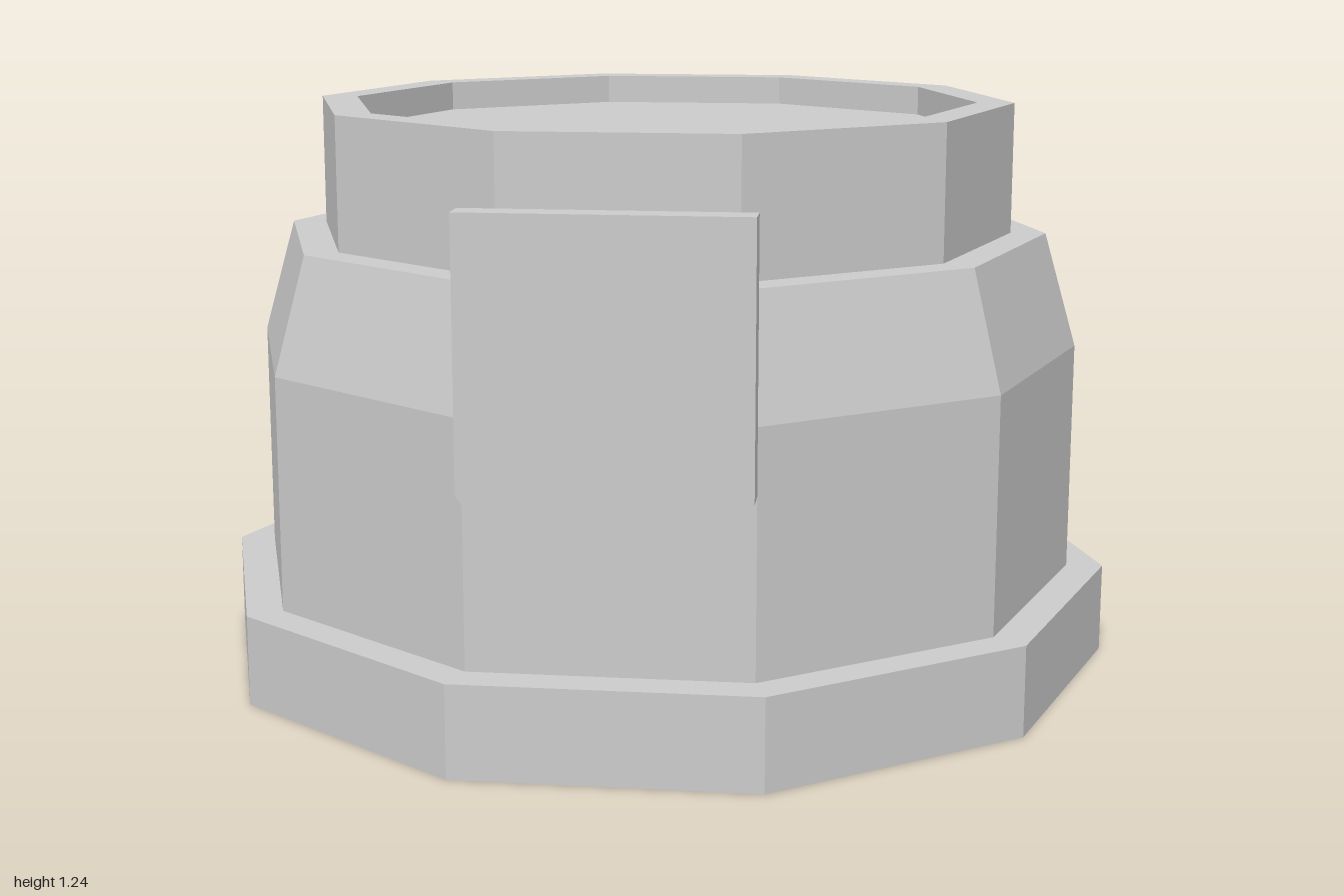
import * as THREE from 'three';

const SIDES = 10;
const STEP = (Math.PI * 2) / SIDES;
const material = new THREE.MeshStandardMaterial({
  color: 0xcccccc, flatShading: true, side: THREE.DoubleSide,
});

function add(parent, name, geometry, z = 0) {
  const mesh = new THREE.Mesh(geometry, material);
  mesh.name = name;
  mesh.position.z = z;
  parent.add(mesh);
}

// Ten-sided shell from a [radius, y] profile; a flat side faces the front.
// skipFront leaves that front side open.
function shell(profile, skipFront = false) {
  const points = profile.map(([r, y]) => new THREE.Vector2(r, y));
  const count = skipFront ? SIDES - 1 : SIDES;
  return new THREE.LatheGeometry(points, count, STEP / 2, STEP * count);
}

const flat = (points) =>
  new THREE.ShapeGeometry(new THREE.Shape(points.map(([x, y]) => new THREE.Vector2(x, y))));

// Walls between z0 and z1 along a closed outline
function walls(outline, z0, z1) {
  const positions = [];
  outline.forEach(([ax, ay], i) => {
    const [bx, by] = outline[(i + 1) % outline.length];
    positions.push(ax, ay, z0, bx, by, z0, bx, by, z1, ax, ay, z0, bx, by, z1, ax, ay, z1);
  });
  const geometry = new THREE.BufferGeometry();
  geometry.setAttribute('position', new THREE.Float32BufferAttribute(positions, 3));
  geometry.computeVertexNormals();
  return geometry;
}

export function createModel() {
  const model = new THREE.Group();
  model.name = 'decagonalHousing';

  const baseTop = 0.195, bodyTop = 0.7, shoulderTop = 0.95, neckTop = 1.235;
  const bodyR = 0.92;
  const halfW = bodyR * Math.sin(STEP / 2);
  const panelZ = bodyR * Math.cos(STEP / 2);
  const plateZ = 0.937;

  // Open-bottomed shell, from the floor up
  add(model, 'baseRing', shell([[1, 0], [1, baseTop], [bodyR, baseTop]]));
  add(model, 'bodyWalls', shell([[bodyR, baseTop], [bodyR, bodyTop]], true));
  add(model, 'shoulder', shell([[bodyR, bodyTop], [0.848, shoulderTop], [0.772, shoulderTop]]));
  add(model, 'neckAndRecessedTop', shell([
    [0.772, shoulderTop], [0.772, neckTop], [0.692, neckTop], [0.692, neckTop - 0.065], [0, neckTop - 0.065],
  ]));

  // Front side, cut away behind the plate
  const tip = [[-halfW, 0.565], [-0.1, 0.305], [0.1, 0.305], [halfW, 0.565]];
  add(model, 'frontPanel', flat([
    [-halfW, baseTop], [halfW, baseTop], ...[...tip].reverse(),
  ]), panelZ);

  // Hollow front plate, its lower part open to the inside of the body
  const plate = new THREE.Group();
  plate.name = 'frontPlate';
  const outline = [...tip, [halfW, 1.105], [-halfW, 1.105]];
  add(plate, 'plateFace', flat(outline), plateZ);
  add(plate, 'plateEdges', walls(outline, panelZ, plateZ));
  add(plate, 'plateBack', flat([
    [-halfW, bodyTop], [halfW, bodyTop], [halfW, 1.105], [-halfW, 1.105],
  ]), panelZ);
  model.add(plate);

  return model;
}
